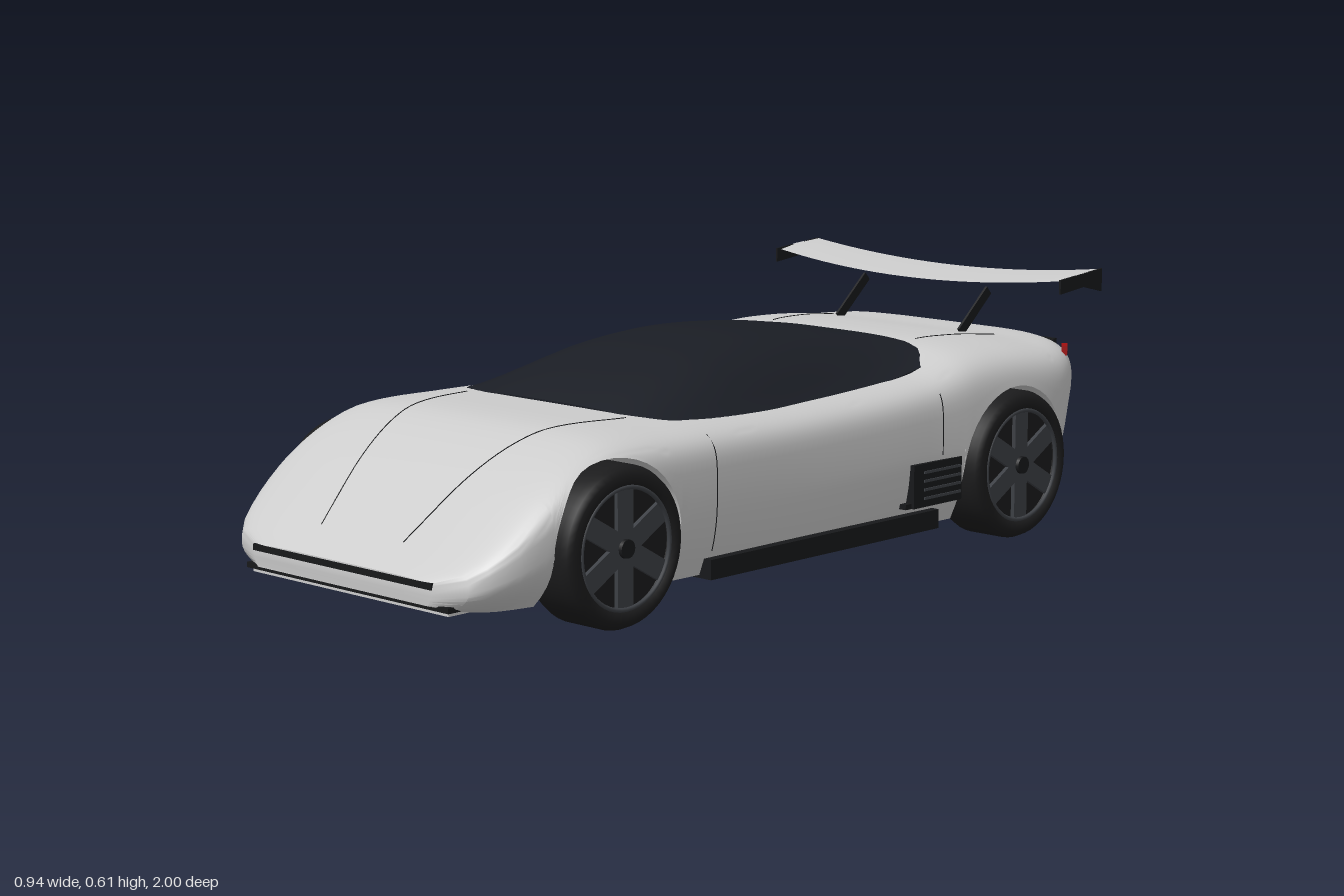
import * as THREE from 'three';
import { toCreasedNormals } from 'three/addons/utils/BufferGeometryUtils.js';

const mat = (color) => new THREE.MeshStandardMaterial({ color, side: THREE.DoubleSide });
const paint = mat(0xcccccc), black = mat(0x17181a), glass = mat(0x1a1d24),
  rubber = mat(0x1b1b1c), rimGrey = mat(0x3c3f44), red = mat(0xa01010);
const V = (x, y, z) => new THREE.Vector3(x, y, z);

// Smooth interpolation through rows of [z, value, value, ...], z descending
function profile(keys, z) {
  let i = 0;
  while (i < keys.length - 2 && z < keys[i + 1][0]) i++;
  const at = (k) => keys[Math.max(0, Math.min(keys.length - 1, k))];
  const [p, a, b, n] = [at(i - 1), at(i), at(i + 1), at(i + 2)];
  const d = b[0] - a[0], t = Math.max(0, Math.min(1, (z - a[0]) / d));
  return a.slice(1).map((v, k) => {
    const w = b[k + 1];
    const m0 = (w - p[k + 1]) / (b[0] - p[0]) * d, m1 = (n[k + 1] - v) / (n[0] - a[0]) * d;
    const t2 = t * t, t3 = t2 * t;
    return (2 * t3 - 3 * t2 + 1) * v + (t3 - 2 * t2 + t) * m0 + (3 * t2 - 2 * t3) * w + (t3 - t2) * m1;
  });
}

// Skin a grid of cross-sections; caps join mirrored points of the end sections
function loft(rows, caps, crease = 0.6) {
  const pos = [];
  const quad = (a, b, c, d) => [a, b, c, a, c, d].forEach((p) => pos.push(p.x, p.y, p.z));
  const L = rows[0].length - 1;
  for (let i = 0; i < rows.length - 1; i++)
    for (let j = 0; j < L; j++) quad(rows[i][j], rows[i + 1][j], rows[i + 1][j + 1], rows[i][j + 1]);
  if (caps) {
    const f = rows[0], r = rows[rows.length - 1];
    for (let j = 0; j < L / 2 - 0.5; j++) {
      quad(f[j], f[j + 1], f[L - j - 1], f[L - j]);
      quad(r[L - j], r[L - j - 1], r[j + 1], r[j]);
    }
  }
  const g = new THREE.BufferGeometry();
  g.setAttribute('position', new THREE.Float32BufferAttribute(pos, 3));
  return toCreasedNormals(g, crease);
}

// Body stations: z, half width, sill half width, floor, deck height
const BODY = [
  [1.0, 0.28, 0.27, 0.088, 0.14], [0.97, 0.36, 0.31, 0.08, 0.165], [0.9, 0.41, 0.34, 0.07, 0.225],
  [0.8, 0.432, 0.37, 0.07, 0.307], [0.7, 0.438, 0.385, 0.07, 0.366], [0.6, 0.44, 0.395, 0.07, 0.397],
  [0.4, 0.436, 0.4, 0.068, 0.4], [0, 0.428, 0.4, 0.066, 0.397], [-0.4, 0.436, 0.4, 0.066, 0.42],
  [-0.55, 0.446, 0.4, 0.066, 0.458], [-0.7, 0.448, 0.4, 0.066, 0.46], [-0.85, 0.442, 0.4, 0.07, 0.447],
  [-0.95, 0.415, 0.37, 0.08, 0.443], [-0.985, 0.37, 0.33, 0.085, 0.438]];
const WHEELS = [0.615, -0.69], ARCH = 0.185, WHEEL_Y = 0.175, N = 5.5;

const waist = (f, yc) => Math.min(0.24, f + (yc - f) * 0.5);
function sideX(z, y) {
  const [xw, xb, f, yc] = profile(BODY, z), ym = waist(f, yc);
  if (y <= ym) return xw - (xw - xb) * ((ym - y) / (ym - f)) ** 2;
  return xw * Math.max(0, 1 - ((y - ym) / (yc - ym)) ** N) ** (1 / N);
}
function deckY(z, x) {
  const [xw, , f, yc] = profile(BODY, z), ym = waist(f, yc);
  return ym + (yc - ym) * (1 - Math.min(1, x / xw) ** N) ** (1 / N);
}
// The tail leans forward towards the floor
const tailZ = (z, y) => z + 0.11 * Math.min(1, Math.max(0, (-0.85 - z) / 0.13)) * (Math.max(0, 0.44 - y) / 0.36) ** 1.6;

function bodySection({ z, arch }) {
  const [xw, xb, f, yc] = profile(BODY, z), ym = waist(f, yc), a = arch || f;
  const wx = Math.min(0.31, xb * 0.8), half = [[0, f], [wx, f], [wx, a], [sideX(z, a), a]];
  const y0 = Math.max(a, ym);
  for (let k = 1; k <= 5; k++) { const y = a + (y0 - a) * k / 5; half.push([sideX(z, y), y]); }
  const t0 = Math.asin(Math.min(1, ((y0 - ym) / (yc - ym)) ** (N / 2)));
  for (let k = 1; k <= 18; k++) {
    const t = t0 + (Math.PI / 2 - t0) * k / 18;
    half.push([k === 18 ? 0 : xw * Math.cos(t) ** (2 / N), ym + (yc - ym) * Math.sin(t) ** (2 / N)]);
  }
  const side = (s) => half.map(([x, y]) => V(s * x, y, tailZ(z, y)));
  return [...side(1), ...side(-1).reverse().slice(1)];
}

function bodyGeometry() {
  const st = [];
  for (let i = 0; i <= 66; i++) {
    const z = 1 - 1.985 * i / 66;
    if (WHEELS.every((c) => Math.abs(z - c) > ARCH + 0.004)) st.push({ z });
  }
  for (const c of WHEELS) {
    st.push({ z: c + ARCH + 0.0005 }, { z: c - ARCH - 0.0005 });
    for (let k = 0; k <= 20; k++) {
      const t = Math.PI * k / 20;
      st.push({ z: c + ARCH * Math.cos(t), arch: WHEEL_Y + ARCH * Math.sin(t) });
    }
  }
  return loft(st.sort((a, b) => b.z - a.z).map(bodySection), true);
}

// Canopy stations: z, half width, base height, roof height
const CANOPY = [
  [0.39, 0.34, 0.385, 0.404], [0.37, 0.357, 0.385, 0.414], [0.3, 0.36, 0.383, 0.445], [0.2, 0.36, 0.38, 0.479],
  [0.1, 0.36, 0.378, 0.502], [-0.08, 0.358, 0.38, 0.516], [-0.3, 0.353, 0.397, 0.503],
  [-0.45, 0.349, 0.42, 0.482], [-0.53, 0.346, 0.437, 0.469], [-0.55, 0.33, 0.44, 0.465]];
function canopyGeometry() {
  const rows = [];
  for (let i = 0; i <= 36; i++) {
    const z = 0.39 - 0.94 * i / 36, [w, b, top] = profile(CANOPY, z), row = [V(w, b - 0.03, z)];
    for (let j = 0; j <= 28; j++) {
      const u = 1 - j / 14;
      row.push(V(w * u, b + (top - b) * Math.max(0, 1 - Math.abs(u) ** 3.5) ** 1.4, z));
    }
    rows.push([...row, V(-w, b - 0.03, z)]);
  }
  return loft(rows, true);
}

function wingGeometry() {
  const rows = [];
  for (let i = 0; i <= 24; i++) {
    const x = -0.45 + 0.9 * i / 24, q = (x / 0.45) ** 2, y = 0.561 + 0.03 * q, zf = -0.835 - 0.02 * q;
    rows.push([V(x, y, zf), V(x, y + 0.01, -0.91), V(x, y + 0.016, -0.998), V(x, y + 0.012, -0.998),
      V(x, y - 0.003, -0.91), V(x, y, zf)]);
  }
  return loft(rows, false);
}

function makeWheel(outer, width) {
  const g = new THREE.Group();
  g.name = 'wheel';
  const add = (geo, m, name, x = 0) => {
    const o = new THREE.Mesh(geo, m); o.name = name; o.position.x = x; g.add(o); return o;
  };
  const h = width / 2, profilePts = [[0.13, -h], [0.155, -h], [0.168, -h + 0.008], [0.174, -h + 0.022],
    [0.174, h - 0.022], [0.168, h - 0.008], [0.155, h], [0.134, h], [0.13, h - 0.02]];
  const turn = (geo) => geo.rotateZ(-Math.PI / 2);
  add(turn(new THREE.LatheGeometry(profilePts.map((p) => new THREE.Vector2(...p)), 48)), rubber, 'tyre');
  add(turn(new THREE.CylinderGeometry(0.131, 0.131, width - 0.03, 40)), rubber, 'rimBack');
  add(new THREE.TorusGeometry(0.129, 0.005, 8, 48).rotateY(Math.PI / 2), rimGrey, 'rimEdge', h - 0.004);
  for (let i = 0; i < 6; i++) {
    const spoke = add(new THREE.BoxGeometry(0.014, 0.115, 0.046).translate(0, 0.071, 0), rimGrey, 'spoke', h - 0.012);
    spoke.rotation.x = i * Math.PI / 3;
  }
  add(turn(new THREE.CylinderGeometry(0.02, 0.022, 0.02, 20)), black, 'hub', h - 0.007);
  g.position.set(outer - h, WHEEL_Y, 0);
  return g;
}

export function createModel() {
  const car = new THREE.Group();
  car.name = 'sportsCar';
  const add = (geo, m, name, parent = car) => {
    const o = new THREE.Mesh(geo, m); o.name = name; parent.add(o); return o;
  };
  const box = (name, m, w, h, d, x, y, z, parent) => {
    const o = add(new THREE.BoxGeometry(w, h, d), m, name, parent); o.position.set(x, y, z); return o;
  };
  const seam = (name, pts) => add(new THREE.TubeGeometry(new THREE.CatmullRomCurve3(pts), 24, 0.0015, 4), black, name);

  add(bodyGeometry(), paint, 'body');
  add(canopyGeometry(), glass, 'canopy');
  add(wingGeometry(), paint, 'rearWing');

  // Nose
  box('headlightStrip', black, 0.565, 0.014, 0.012, 0, 0.13, 0.996);
  box('frontSplitter', black, 0.64, 0.012, 0.08, 0, 0.084, 0.95);
  box('splitterLip', paint, 0.62, 0.008, 0.07, 0, 0.073, 0.945);

  // Tail light bar
  box('tailLightFrame', black, 0.66, 0.034, 0.012, 0, 0.412, -0.982);
  box('tailLightBar', red, 0.63, 0.019, 0.012, 0, 0.412, -0.985);

  // Diffuser with fins, slats and small lamps
  box('diffuserPlate', black, 0.58, 0.01, 0.12, 0, 0.1, -0.915);
  box('diffuserFloor', black, 0.56, 0.006, 0.27, 0, 0.064, -0.735);
  for (let i = 0; i < 6; i++) {
    const x = -0.28 + i * 0.112;
    box('diffuserFin', black, 0.012, 0.055, 0.145, x, 0.116, -0.922);
    if (i === 5) break;
    box('diffuserSlat', paint, 0.07, 0.008, 0.24, x + 0.056, 0.06, -0.74);
    const lamp = add(new THREE.SphereGeometry(0.009, 12, 8), red, 'diffuserLamp');
    lamp.position.set(x + 0.056, 0.112, -0.978);
  }

  const plate = new THREE.Shape([[0.84, 0.56], [0.93, 0.57], [1, 0.553], [1, 0.608], [0.84, 0.594]]
    .map((p) => new THREE.Vector2(...p)));
  const plateGeo = new THREE.ExtrudeGeometry(plate, { depth: 0.005, bevelEnabled: false }).rotateY(Math.PI / 2);

  for (const s of [1, -1]) {
    // Wheels
    WHEELS.forEach((z, i) => {
      const wheel = makeWheel(i ? 0.465 : 0.457, 0.138), holder = new THREE.Group();
      holder.name = i ? 'rearWheel' : 'frontWheel';
      holder.add(wheel);
      holder.rotation.y = s > 0 ? 0 : Math.PI;
      holder.position.z = z;
      car.add(holder);
    });
    // Wing end plates and struts
    add(plateGeo, black, 'wingEndPlate').position.x = s * 0.449 - 0.0025;
    const strut = box('wingStrut', black, 0.006, 0.14, 0.024, s * 0.193, 0.496, -0.84);
    strut.rotation.x = -0.85;
    // Sill skirt and side intake
    box('sideSkirt', black, 0.07, 0.044, 0.76, s * 0.4, 0.083, -0.04);
    box('sideIntake', black, 0.04, 0.1, 0.17, s * 0.424, 0.17, -0.405);
    for (let k = 0; k < 4; k++) box('intakeLouvre', rimGrey, 0.01, 0.006, 0.13, s * 0.442, 0.14 + k * 0.02, -0.42);
    box('intakeLip', black, 0.03, 0.012, 0.2, s * 0.422, 0.126, -0.4);
    // Corner tail light
    box('cornerLight', red, 0.014, 0.022, 0.05, s * 0.381, 0.411, -0.952).rotation.y = s * 0.64;
    // Panel seams
    const line = (n, f) => Array.from({ length: n + 1 }, (_, k) => f(k / n));
    seam('bonnetSeam', line(12, (t) => {
      const z = 0.41 + 0.53 * t, x = 0.25 - 0.12 * t ** 1.2;
      return V(s * x, deckY(z, x), z);
    }));
    seam('rearDeckSeam', line(8, (t) => {
      const z = -0.58 - 0.26 * t, x = 0.225 + 0.03 * t;
      return V(s * x, deckY(z, x), z);
    }));
    for (const [z, low] of [[0.32, 0.12], [-0.43, 0.23]])
      seam('doorSeam', line(10, (t) => {
        const y = low + (0.37 - low) * t;
        return V(s * sideX(z, y), y, z);
      }));
  }
  return car;
}
